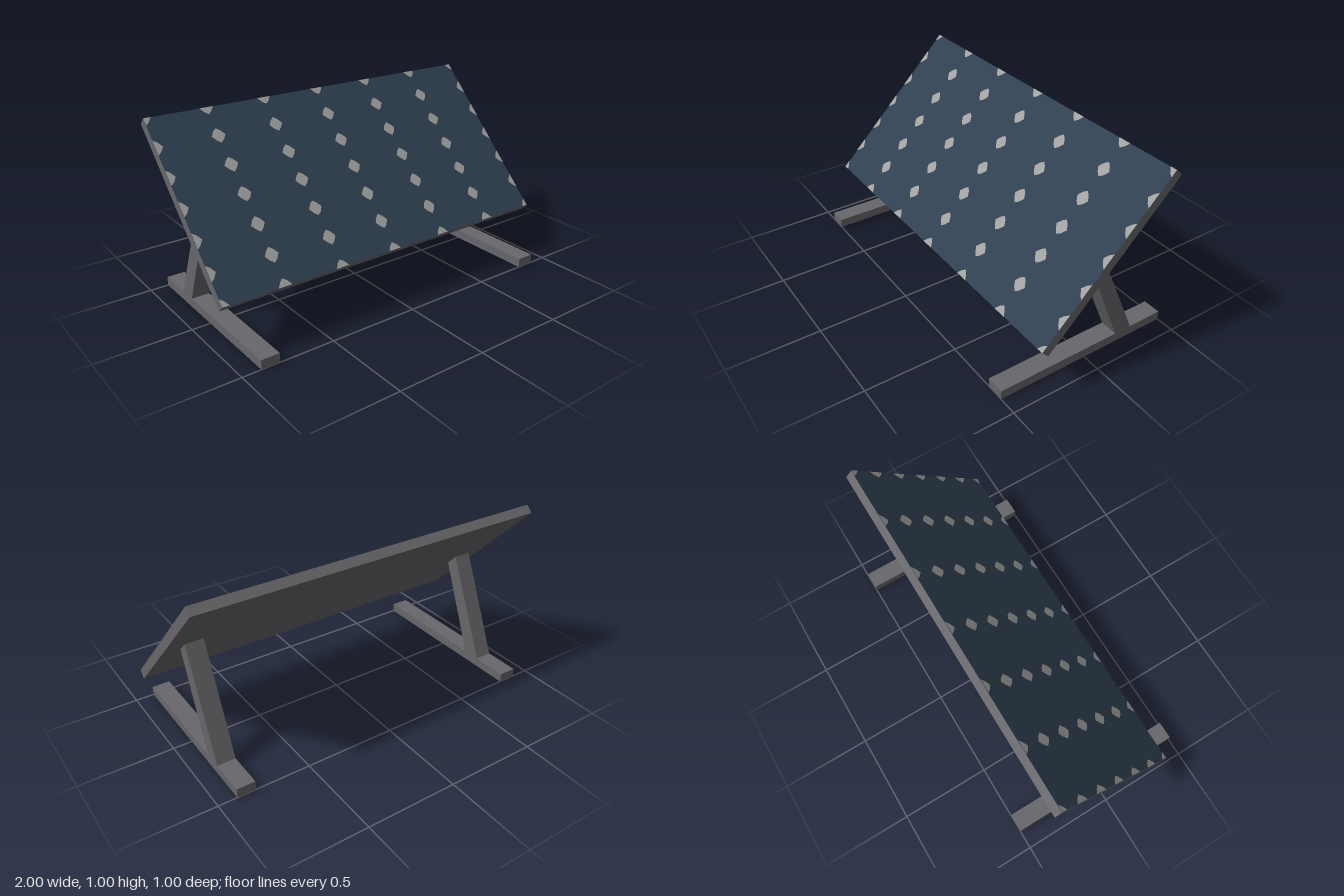
import * as THREE from 'three';

export function createModel() {
  const model = new THREE.Group();
  const material = (name, color) => {
    const m = new THREE.MeshStandardMaterial({ color });
    m.name = name;
    return m;
  };
  const metal = material('greyMetal', 0x68676b);
  const cell = material('darkBlueCells', 0x304050);
  const backing = material('paleBacking', 0xa0a1a0);

  const add = (parent, name, geometry, mat) => {
    const mesh = new THREE.Mesh(geometry, mat);
    mesh.name = name;
    parent.add(mesh);
    return mesh;
  };

  // Tilted panel: metal slab whose upper face is covered in cells
  const W = 2, L = 1.005, T = 0.05;
  const panel = new THREE.Group();
  panel.name = 'solarPanel';
  panel.position.set(0, 0.6225, -0.0225);
  panel.rotation.x = Math.PI / 4;
  model.add(panel);
  add(panel, 'panelSlab', new THREE.BoxGeometry(W, T, L),
    [metal, metal, cell, metal, metal, metal]);

  // Pale gaps where the clipped cell corners meet, trimmed at the panel edges
  const outline = [[0.038, 0], [0.02, 0.026], [0, 0.042], [-0.02, 0.026],
    [-0.038, 0], [-0.02, -0.026], [0, -0.042], [0.02, -0.026]];
  const clamp = THREE.MathUtils.clamp;
  const gaps = [];
  for (let i = 0; i <= 6; i++) {
    for (let j = 0; j <= 6; j++) {
      const cx = (i / 6 - 0.5) * W, cy = (j / 6 - 0.5) * L;
      const points = outline.map(([x, y]) => new THREE.Vector2(
        clamp(cx + x, -W / 2, W / 2), clamp(cy + y, -L / 2, L / 2)));
      // drop corners that fall together after trimming
      gaps.push(new THREE.Shape(points.filter((p, k) =>
        p.distanceTo(points[(k + 1) % points.length]) > 1e-5)));
    }
  }
  const gapGeometry = new THREE.ShapeGeometry(gaps);
  gapGeometry.rotateX(-Math.PI / 2);
  add(panel, 'cellCornerGaps', gapGeometry, backing).position.y = T / 2 + 0.002;

  // Two stands, each a floor rail and a leaning strut
  const strutShape = new THREE.Shape([[-0.3, 0.05], [-0.2, 0.05], [0.01, 0.558], [-0.05, 0.616]]
    .map(([z, y]) => new THREE.Vector2(z, y)));
  for (const [side, x] of [['left', 0.85], ['right', -0.85]]) {
    const stand = new THREE.Group();
    stand.name = side + 'Stand';
    stand.position.x = x;
    model.add(stand);
    add(stand, 'floorRail', new THREE.BoxGeometry(0.1, 0.05, 1), metal).position.y = 0.025;
    const strut = new THREE.ExtrudeGeometry(strutShape, { depth: 0.1, bevelEnabled: false });
    strut.rotateY(-Math.PI / 2).translate(0.05, 0, 0);
    add(stand, 'strut', strut, metal);
  }
  return model;
}
